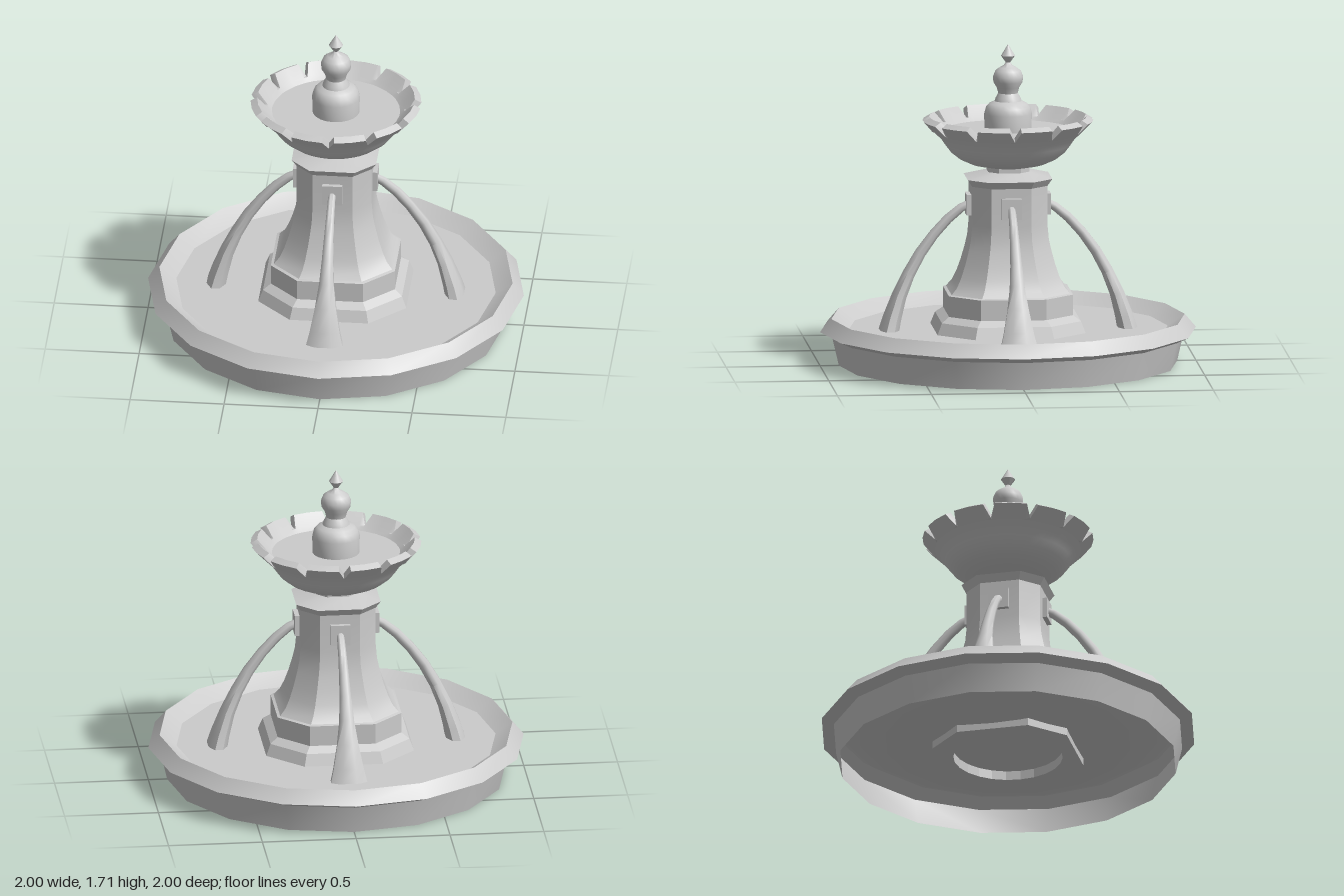
import * as THREE from 'three';
import { toCreasedNormals } from 'three/addons/utils/BufferGeometryUtils.js';

const stone = new THREE.MeshStandardMaterial({ color: 0xcccccc });
const shell = new THREE.MeshStandardMaterial({ color: 0xcccccc, side: THREE.DoubleSide });

// Skin closed rings of points, listed from the bottom of the outside upward
function loft(rings, { crease = 0.6, capStart = false, capEnd = false } = {}) {
  const n = rings[0].length;
  const pos = rings.flat().flatMap((p) => [p.x, p.y, p.z]);
  const idx = [];
  for (let i = 0; i < rings.length - 1; i++) {
    for (let j = 0; j < n; j++) {
      const a = i * n + j, b = i * n + ((j + 1) % n);
      idx.push(a, b, b + n, a, b + n, a + n);
    }
  }
  const cap = (ring, base, flip) => {
    const c = ring.reduce((s, p) => s.add(p), new THREE.Vector3()).divideScalar(n);
    const k = pos.length / 3;
    pos.push(c.x, c.y, c.z);
    for (let j = 0; j < n; j++) {
      const a = base + j, b = base + ((j + 1) % n);
      idx.push(k, flip ? b : a, flip ? a : b);
    }
  };
  if (capStart) cap(rings[0], 0, true);
  if (capEnd) cap(rings[rings.length - 1], (rings.length - 1) * n, false);
  const g = new THREE.BufferGeometry();
  g.setAttribute('position', new THREE.Float32BufferAttribute(pos, 3));
  g.setIndex(idx);
  return toCreasedNormals(g, crease);
}

const polar = (r, y, a) => new THREE.Vector3(r * Math.sin(a), y, r * Math.cos(a));
const circle = (r, y, n) => Array.from({ length: n }, (_, i) => polar(r, y, (i / n) * Math.PI * 2));

// Square with chamfered corners, half width w
function octagon(w, y) {
  const c = w * 0.53;
  return [[-c, w], [c, w], [w, c], [w, -c], [c, -w], [-c, -w], [-w, -c], [-w, c]]
    .map(([x, z]) => new THREE.Vector3(x, y, z));
}

export function createModel() {
  const model = new THREE.Group();
  const add = (name, geometry, material = stone, parent = model) => {
    const m = new THREE.Mesh(geometry, material);
    m.name = name;
    parent.add(m);
    return m;
  };

  // Sixteen-sided basin: flared wall, pointed lip and a dished floor, hollow below
  const basin = [[0.9, 0], [0.935, 0.15], [1, 0.18], [0.94, 0.25], [0.85, 0.188], [0.62, 0.105], [0.32, 0.055]];
  add('basin', loft(basin.map(([r, y]) => circle(r, y, 16)), { crease: 0.5 }), shell);

  // Water surface in the basin
  add('basinWater', new THREE.CircleGeometry(0.852, 16).rotateX(-Math.PI / 2).translate(0, 0.188, 0));

  // Foot ring under the pedestal
  const foot = new THREE.Shape(octagon(0.365, 0).map((p) => new THREE.Vector2(p.x, p.z)));
  foot.holes.push(new THREE.Path().absarc(0, 0, 0.29, 0, Math.PI * 2));
  const footGeo = new THREE.ExtrudeGeometry(foot, { depth: 0.05, bevelEnabled: false });
  footGeo.rotateX(-Math.PI / 2).translate(0, 0.03, 0);
  add('footRing', footGeo);

  // Pedestal with plinth, curved shaft, moulded capital and neck
  const pedestal = [
    [0.365, 0.08], [0.395, 0.185], [0.37, 0.25], [0.33, 0.28], [0.33, 0.39], [0.315, 0.395],
    [0.285, 0.43], [0.262, 0.48], [0.24, 0.545], [0.22, 0.62], [0.207, 0.68], [0.2, 0.76],
    [0.2, 0.965], [0.225, 1.003], [0.11, 1.035], [0.11, 1.07],
  ];
  add('pedestal', loft(pedestal.map(([w, y]) => octagon(w, y)), { crease: 0.45, capStart: true, capEnd: true }));

  // Upper bowl: the rim rows dip at twelve notches to form the petals
  const petals = 12, split = [0, 4, 15, 26];
  const bowlProfile = [
    [0.11, 1.056], [0.2, 1.075], [0.26, 1.102], [0.304, 1.137], [0.333, 1.175], [0.355, 1.207],
    [0.39, 1.242], [0.453, 1.305, 0.402, 1.245], [0.418, 1.325, 0.38, 1.268], [0.363, 1.268], [0.34, 1.25],
  ];
  const bowlRings = bowlProfile.map(([r, y, notchR = r, notchY = y]) => {
    const ring = [];
    for (let i = 0; i < petals; i++) {
      split.forEach((deg, k) => {
        const a = THREE.MathUtils.degToRad(i * 30 + deg);
        ring.push(k === 0 ? polar(notchR, notchY, a) : polar(r, y, a));
      });
    }
    return ring;
  });
  add('petalBowl', loft(bowlRings, { crease: 0.5, capStart: true, capEnd: true }), shell);

  // Turned finial
  const finial = [
    [0.125, 1.24], [0.127, 1.34], [0.118, 1.375], [0.1, 1.395], [0.072, 1.408], [0.066, 1.425],
    [0.052, 1.45], [0.06, 1.48], [0.078, 1.51], [0.08, 1.54], [0.068, 1.57], [0.045, 1.587],
    [0.022, 1.6], [0.013, 1.615], [0.037, 1.65], [0.0, 1.712],
  ].map(([r, y]) => new THREE.Vector2(r, y));
  add('finial', toCreasedNormals(new THREE.LatheGeometry(finial, 20), 0.7));

  // Arching water jets: [outward, height, half width across, half thickness]
  const jet = [
    [0.2, 0.862, 0.018, 0.02], [0.25, 0.837, 0.02, 0.023], [0.32, 0.779, 0.022, 0.025],
    [0.395, 0.696, 0.026, 0.026], [0.467, 0.597, 0.031, 0.029], [0.528, 0.487, 0.04, 0.032],
    [0.579, 0.37, 0.058, 0.038], [0.617, 0.25, 0.082, 0.047], [0.635, 0.178, 0.1, 0.052],
  ];
  const jetRings = jet.map(([x, y, across, thick], i) => {
    const p = jet[Math.max(i - 1, 0)], q = jet[Math.min(i + 1, jet.length - 1)];
    const t = new THREE.Vector2(q[0] - p[0], q[1] - p[1]).normalize();
    return Array.from({ length: 8 }, (_, k) => {
      const a = ((k + 0.5) / 8) * Math.PI * 2;
      const u = Math.cos(a) * across * 1.06, v = Math.sin(a) * thick * 1.06;
      return new THREE.Vector3(x + t.y * v, y - t.x * v, u);
    });
  });
  const jetGeo = loft(jetRings, { crease: 0.9, capStart: true, capEnd: true });
  const plaqueGeo = new THREE.BoxGeometry(0.05, 0.112, 0.106).translate(0.2, 0.858, 0);
  for (let i = 0; i < 4; i++) {
    const spout = new THREE.Group();
    spout.name = 'spout';
    spout.rotation.y = (i * Math.PI) / 2;
    add('spoutPlaque', plaqueGeo, stone, spout);
    add('waterJet', jetGeo, stone, spout);
    model.add(spout);
  }
  return model;
}
